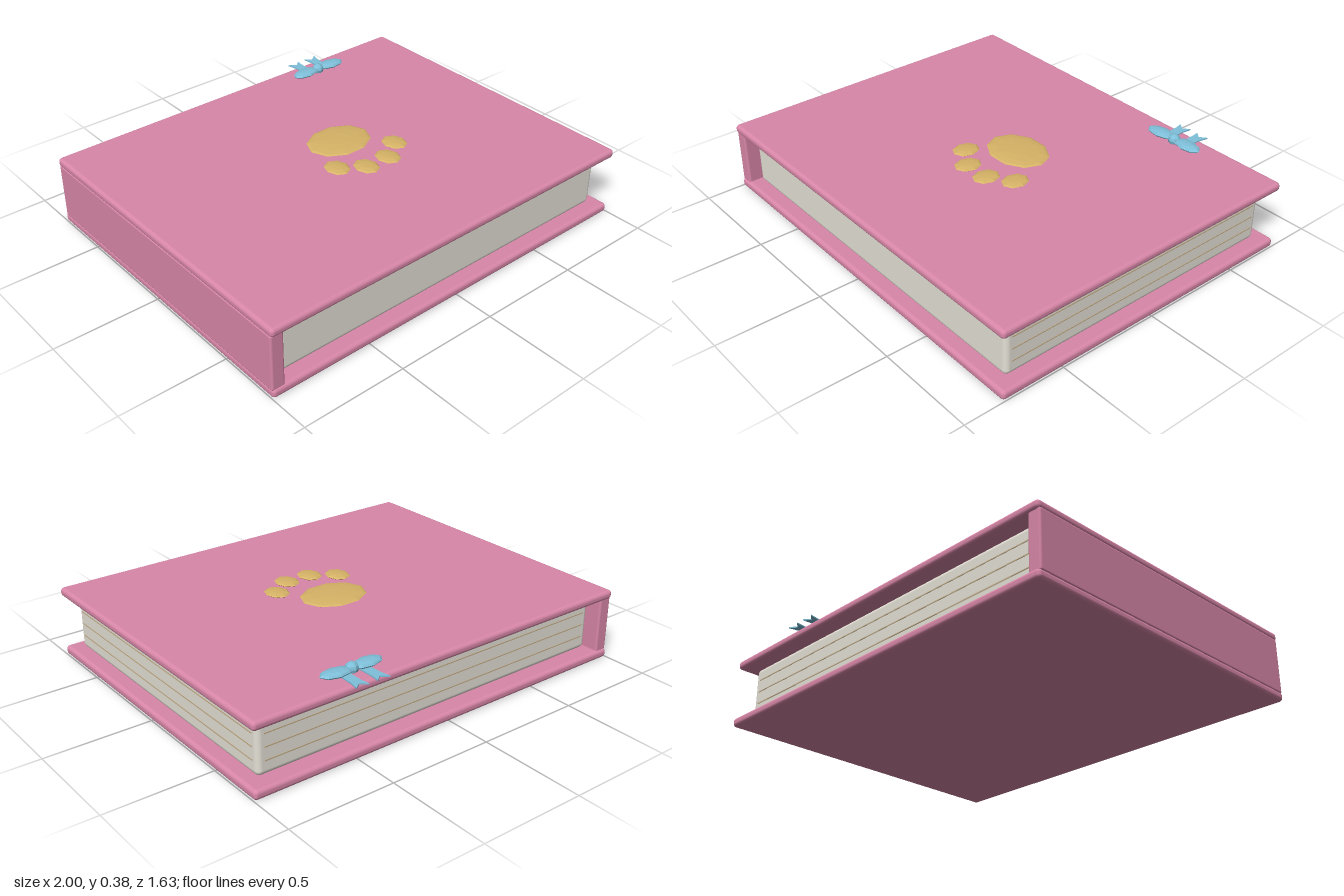
import * as THREE from 'three';
import { RoundedBoxGeometry } from 'three/addons/geometries/RoundedBoxGeometry.js';

const material = (name, color, extra = {}) => {
  const m = new THREE.MeshStandardMaterial({ color, ...extra });
  m.name = name;
  return m;
};

export function createModel() {
  const pink = material('pink cover', 0xd987a8);
  const paper = material('cream paper', 0xe4e1d6);
  const tan = material('tan page line', 0xc4ad88);
  const gold = material('gold paw', 0xd6b366, { flatShading: true });
  const blue = material('light blue ribbon', 0x7fc0da, { flatShading: true, side: THREE.DoubleSide });

  const book = new THREE.Group();
  book.name = 'book';

  const add = (parent, name, geometry, mat, x = 0, y = 0, z = 0) => {
    const mesh = new THREE.Mesh(geometry, mat);
    mesh.name = name;
    mesh.position.set(x, y, z);
    parent.add(mesh);
    return mesh;
  };

  // Box with softened edges, given by its limits on each axis
  const block = (name, mat, [x0, x1], [y0, y1], [z0, z1], radius) =>
    add(book, name, new RoundedBoxGeometry(x1 - x0, y1 - y0, z1 - z0, 3, radius), mat,
      (x0 + x1) / 2, (y0 + y1) / 2, (z0 + z1) / 2);

  // Covers, spine and page block
  block('bottomCover', pink, [-1, 1], [0, 0.045], [-0.785, 0.812], 0.018);
  block('topCover', pink, [-1, 1], [0.3, 0.343], [-0.785, 0.812], 0.018);
  block('spine', pink, [-1, -0.935], [0.035, 0.31], [-0.775, 0.804], 0.01);
  block('pages', paper, [-0.92, 0.94], [0.047, 0.301], [-0.715, 0.75], 0.025);

  // Page lines on the fore edge and the back edge
  for (const y of [0.115, 0.175, 0.235]) {
    add(book, 'foreEdgeLine', new THREE.BoxGeometry(0.004, 0.005, 1.4), tan, 0.94, y, 0.018);
    add(book, 'backEdgeLine', new THREE.BoxGeometry(1.79, 0.005, 0.004), tan, 0.01, y, -0.715);
  }

  // Squashed faceted ellipsoid
  const pebble = (parent, name, mat, segments, rings, [x, y, z], [rx, ry, rz]) =>
    add(parent, name, new THREE.SphereGeometry(1, segments, rings).scale(rx, ry, rz), mat, x, y, z);

  // Paw emblem: one pad and four toes
  const paw = new THREE.Group();
  paw.name = 'pawEmblem';
  book.add(paw);
  pebble(paw, 'pawPad', gold, 10, 8, [0.066, 0.355, -0.057], [0.164, 0.012, 0.129]);
  for (const side of [-1, 1]) {
    pebble(paw, 'outerToe', gold, 8, 6, [0.08 + side * 0.174, 0.355, 0.12], [0.056, 0.01, 0.067]);
    pebble(paw, 'innerToe', gold, 8, 6, [0.08 + side * 0.065, 0.355, 0.195], [0.056, 0.01, 0.067]);
  }

  // Ribbon bow: knot, two loops and two notched tails reaching over the back edge
  const bow = new THREE.Group();
  bow.name = 'bow';
  bow.position.set(0.455, 0, -0.68);
  book.add(bow);
  pebble(bow, 'bowKnot', blue, 8, 6, [0, 0.358, 0], [0.03, 0.027, 0.03]);
  for (const side of [-1, 1]) {
    const loop = pebble(bow, 'bowLoop', blue, 8, 6, [side * 0.08, 0.36, 0], [0.077, 0.014, 0.042]);
    loop.rotation.y = side * -0.06;

    const tail = new THREE.Shape([
      [0.027, 0.01], [0.072, 0.01], [0.076, 0.095], [0.085, 0.137], [0.052, 0.112], [0.022, 0.137], [0.027, 0.095],
    ].map(([x, y]) => new THREE.Vector2(side * x, y)));
    const geometry = new THREE.ExtrudeGeometry(tail, { depth: 0.006, bevelEnabled: false });
    add(bow, 'bowTail', geometry.rotateX(-Math.PI / 2), blue, 0, 0.346, 0);
  }

  return book;
}
